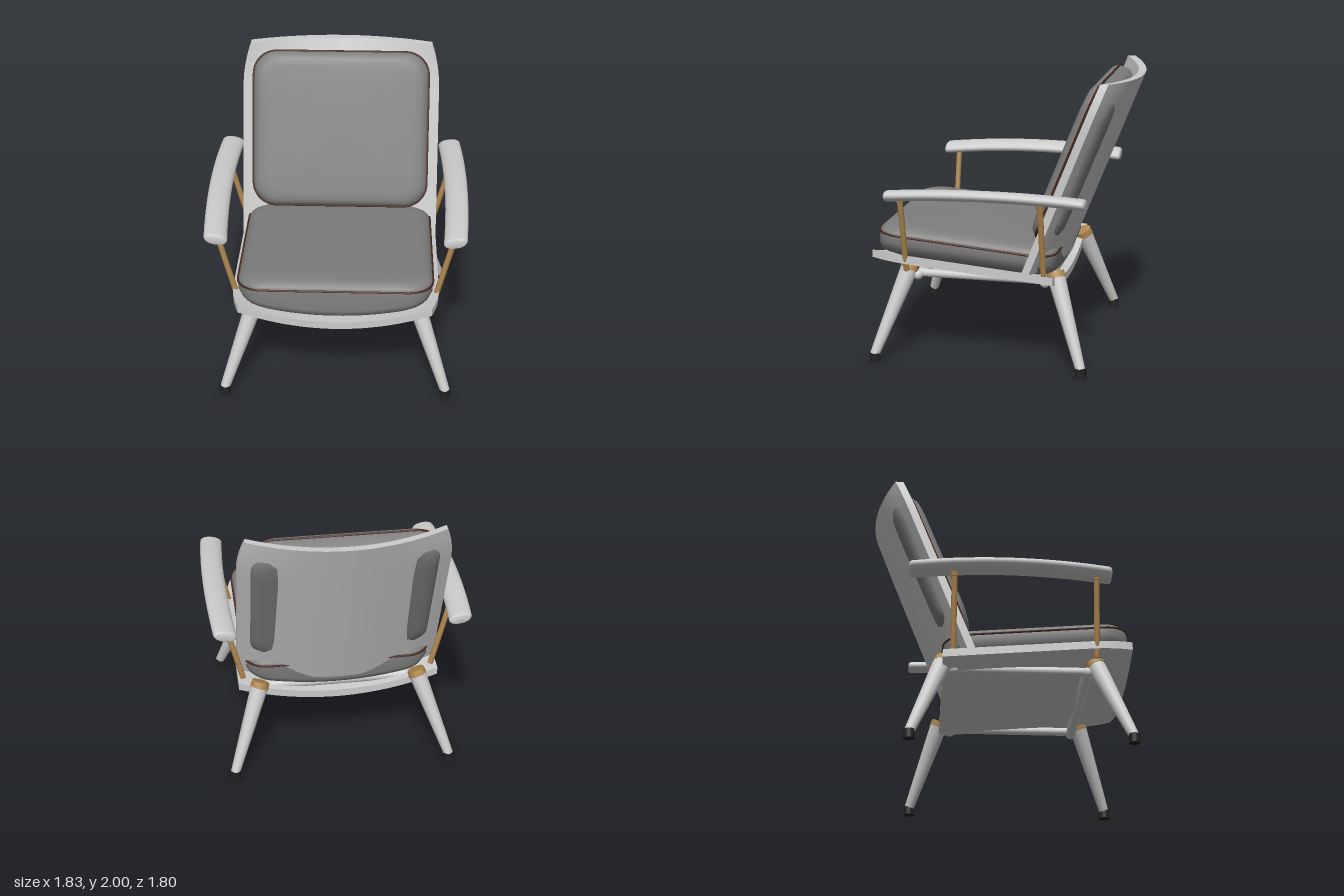
import * as THREE from 'three';

const mat = (color) => new THREE.MeshStandardMaterial({ color });
const FRAME = mat(0xcccccc), FABRIC = mat(0x7e7e7e), PIPING = mat(0x4a2a20);
const BRASS = mat(0xb08850), RUBBER = mat(0x222222);
const V = (x, y, z) => new THREE.Vector3(x, y, z);

function add(parent, geometry, material, name) {
  const mesh = new THREE.Mesh(geometry, material);
  mesh.name = name;
  parent.add(mesh);
  return mesh;
}

// Tapered round bar from a to b
function rod(parent, a, b, ra, rb, material, name) {
  const dir = b.clone().sub(a);
  const mesh = add(parent, new THREE.CylinderGeometry(rb, ra, dir.length(), 24), material, name);
  mesh.position.copy(a).add(b).multiplyScalar(0.5);
  mesh.quaternion.setFromUnitVectors(V(0, 1, 0), dir.normalize());
  return mesh;
}

// Skin through closed rings of equal point count
function loft(rings) {
  const n = rings[0].length, pos = [], idx = [];
  rings.forEach((ring) => ring.forEach((p) => pos.push(p.x, p.y, p.z)));
  for (let k = 0; k < rings.length - 1; k++) {
    for (let i = 0; i < n; i++) {
      const j = (i + 1) % n, a = k * n + i, b = k * n + j;
      idx.push(a, b, b + n, a, b + n, a + n);
    }
  }
  const g = new THREE.BufferGeometry();
  g.setAttribute('position', new THREE.Float32BufferAttribute(pos, 3));
  g.setIndex(idx);
  g.computeVertexNormals();
  return g;
}

// Bowed sheet: map(u, v, t) with u across, v along, t from inner to outer face
function shell(map, flip) {
  const g = new THREE.BoxGeometry(1, 1, 1, 32, 1, 24), p = g.attributes.position;
  for (let i = 0; i < p.count; i++) {
    const v = flip ? 0.5 - p.getZ(i) : p.getZ(i) + 0.5;
    const q = map(p.getX(i) * 2, v, 0.5 - p.getY(i));
    p.setXYZ(i, q.x, q.y, q.z);
  }
  g.computeVertexNormals();
  return g;
}
const halfWidth = (v) => 0.718 - 0.055 * Math.max(0, (v - 0.78) / 0.22) ** 2;

// Rounded cushion with one line of piping; bend lifts the underside toward the sides
function cushion(name, w, d, r, bottom, bend) {
  const group = new THREE.Group();
  group.name = name;
  const s = new THREE.Shape(), x = w / 2, y = d / 2;
  s.absarc(x - r, y - r, r, 0, Math.PI / 2);
  s.absarc(r - x, y - r, r, Math.PI / 2, Math.PI);
  s.absarc(r - x, r - y, r, Math.PI, Math.PI * 1.5);
  s.absarc(x - r, r - y, r, Math.PI * 1.5, Math.PI * 2);
  s.closePath();
  const outline = s.getSpacedPoints(112);
  outline.pop();
  const profile = [
    [0.001, bottom], [0.4, bottom], [0.7, bottom], [0.84, bottom + 0.005], [0.92, bottom + 0.02],
    [0.975, bottom + 0.045], [1, bottom + 0.085], [1, 0.07], [0.985, 0.09], [0.955, 0.11],
    [0.91, 0.122], [0.82, 0.129], [0.5, 0.132], [0.001, 0.133],
  ];
  const ring = ([k, h]) => outline.map((p) => {
    const lift = h < 0.06 ? bend * (p.x * k / x) ** 2 : 0;
    return V(p.x * k, h + lift, -p.y * k);
  });
  add(group, loft(profile.map(ring)), FABRIC, name + 'Pad');
  const path = new THREE.CatmullRomCurve3(ring([1.003, 0.07]), true);
  add(group, new THREE.TubeGeometry(path, 160, 0.008, 6, true), PIPING, name + 'Piping');
  return group;
}

// Arched armrest, bowed outward
function armrest(side) {
  const ends = [[-1, 0.001], [-1, 0.75], [-0.99, 0.92], [-0.97, 1]];
  const stations = [...ends];
  for (let k = -9; k <= 9; k++) stations.push([k / 10, 1]);
  stations.push(...ends.map(([v, k]) => [-v, k]).reverse());
  return loft(stations.map(([v, k]) => {
    const ring = [];
    for (let i = 0; i < 24; i++) {
      const a = (i / 24) * Math.PI * 2, c = Math.cos(a), b = Math.sin(a);
      const ex = 0.08 * k * Math.sign(c) * Math.abs(c) ** 0.85, ey = 0.039 * k * b;
      ring.push(V(side * (0.837 - 0.027 * v * v) + ex,
        1.246 - 0.033 * v * v - 0.004 * v + ey + side * ex * 0.15, 0.06 + 0.69 * v));
    }
    return ring;
  }));
}

export function createModel() {
  const chair = new THREE.Group();
  chair.name = 'armchair';

  // Seat and back shells
  add(chair, shell((u, v, t) => V(u * halfWidth(v),
    0.67 + 0.11 * v - 0.125 * (1 - u * u) - 0.055 * t, -0.39 + 1.29 * v), false), FRAME, 'seatShell');
  add(chair, shell((u, v, t) => V(u * halfWidth(v),
    0.68 + 1.32 * v - 0.025 * (1 - u * u), -0.17 - 0.52 * v - 0.155 * (1 - u * u) - 0.055 * t), true), FRAME, 'backShell');

  // Cushions
  const seat = cushion('seatCushion', 1.34, 1.27, 0.17, -0.17, 0.1);
  seat.position.set(0, 0.775, 0.255);
  seat.rotation.x = -0.086;
  const back = cushion('backCushion', 1.28, 1.14, 0.17, -0.09, 0);
  back.position.set(0, 1.4, -0.51);
  back.rotation.x = Math.PI / 2 - 0.38;
  chair.add(seat, back);

  for (const s of [1, -1]) {
    const sideName = s > 0 ? 'left' : 'right';

    // Legs with collars and feet: [name, top z, foot z]
    for (const [end, zt, zf] of [['Front', 0.66, 0.865], ['Back', -0.39, -0.6]]) {
      const top = V(s * 0.57, 0.635, zt), foot = V(s * 0.78, 0.05, zf);
      const up = top.clone().sub(foot).normalize();
      rod(chair, foot, top, 0.034, 0.063, FRAME, sideName + end + 'Leg');
      rod(chair, top.clone().addScaledVector(up, -0.01), top.clone().addScaledVector(up, 0.035),
        0.066, 0.062, BRASS, sideName + end + 'Collar');
      rod(chair, V(s * 0.78, 0, zf), V(s * 0.78, 0.062, zf), 0.038, 0.037, RUBBER, sideName + end + 'Foot');
    }

    // Armrest and its posts: [name, z, base y]
    add(chair, armrest(s), FRAME, sideName + 'Armrest');
    for (const [end, z, y] of [['Front', 0.65, 0.65], ['Back', -0.32, 0.67]]) {
      const a = V(s * 0.68, y, z), b = V(s * 0.815, 1.21, z);
      rod(chair, a, b, 0.02, 0.02, BRASS, sideName + end + 'Post');
      rod(chair, a.clone().lerp(b, 0.94), b, 0.028, 0.028, BRASS, sideName + end + 'PostCap');
    }

    // Side rail under the seat
    rod(chair, V(s * 0.55, 0.6, 0.6), V(s * 0.55, 0.6, -0.31), 0.03, 0.03, FRAME, sideName + 'Rail');
  }

  // Cross rails with rounded ends
  for (const [name, z] of [['frontRail', 0.6], ['backRail', -0.31]]) {
    const rail = add(chair, new THREE.CapsuleGeometry(0.036, 1.14, 6, 20), FRAME, name);
    rail.rotation.z = Math.PI / 2;
    rail.position.set(0, 0.588, z);
  }
  return chair;
}
